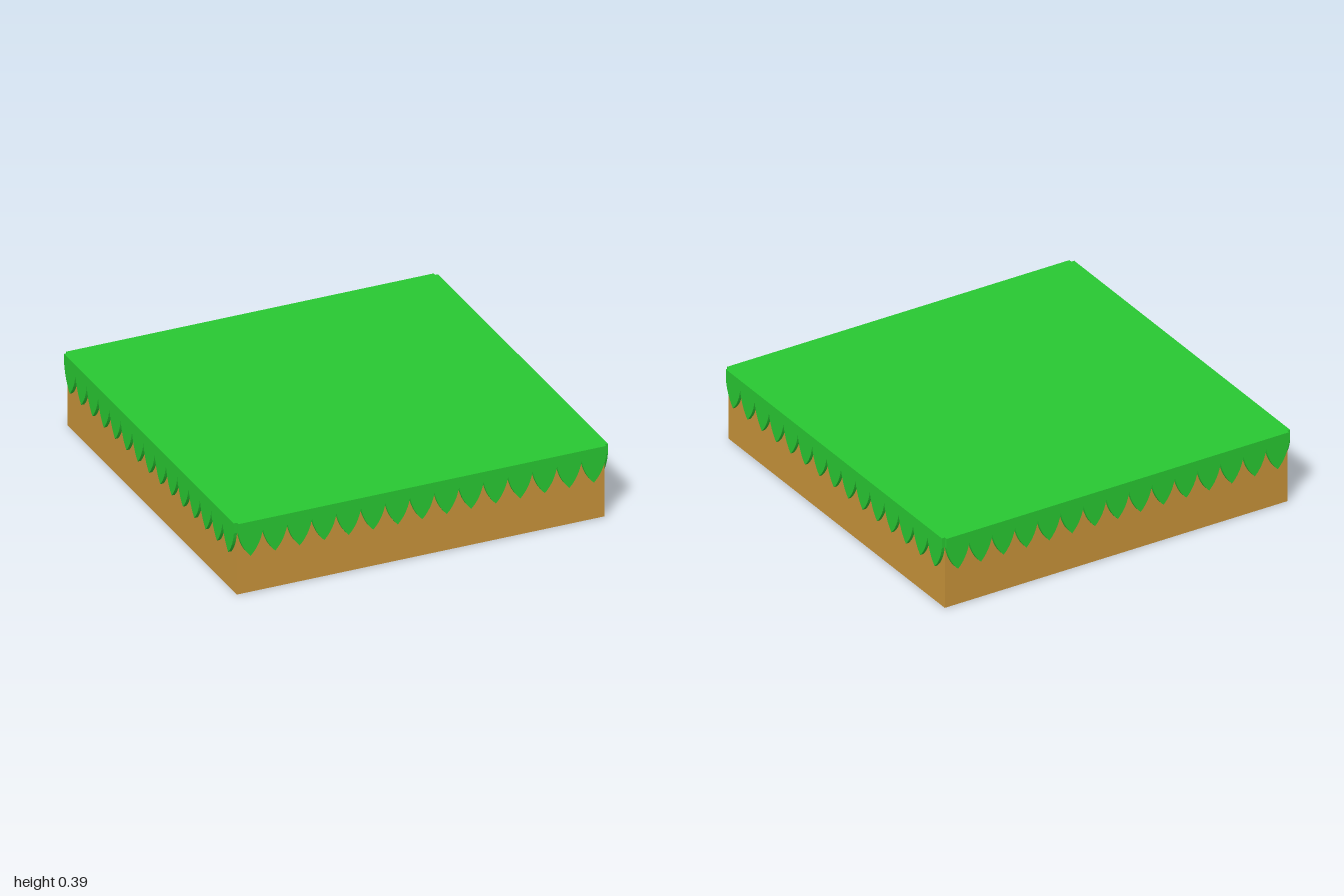
import * as THREE from 'three';

const HALF = 0.983;    // half width of the soil block
const LIP = 0.017;     // thickness of the hanging grass
const TOP = 0.393, NOTCH = 0.338, TIP = 0.206;
const TEETH = 15;

// Outline of one side's grass: straight top, row of pointed ogive blades below
function fringeShape() {
  const pitch = (2 * HALF) / TEETH;
  const shape = new THREE.Shape();
  shape.moveTo(HALF, TOP);
  shape.lineTo(-HALF, TOP);
  shape.lineTo(-HALF, NOTCH);
  for (let i = 0; i < TEETH; i++) {
    const x = -HALF + i * pitch, mid = x + pitch / 2;
    shape.quadraticCurveTo(x + 0.015, 0.255, mid, TIP);
    shape.quadraticCurveTo(x + pitch - 0.015, 0.255, x + pitch, NOTCH);
  }
  shape.closePath();
  return shape;
}

export function createModel() {
  const model = new THREE.Group();
  model.name = 'grassBlock';
  const soilMat = new THREE.MeshStandardMaterial({ color: 0xc8933a });
  const grassMat = new THREE.MeshStandardMaterial({ color: 0x28c832 });

  // Soil block
  const soil = new THREE.Mesh(new THREE.BoxGeometry(2 * HALF, NOTCH, 2 * HALF), soilMat);
  soil.name = 'soil';
  soil.position.y = NOTCH / 2;
  model.add(soil);

  // Grass layer on top
  const turf = new THREE.Mesh(new THREE.BoxGeometry(2 * HALF, TOP - NOTCH, 2 * HALF), grassMat);
  turf.name = 'turf';
  turf.position.y = (TOP + NOTCH) / 2;
  model.add(turf);

  // Hanging blades on the four sides, leaving the corners open
  const geometry = new THREE.ExtrudeGeometry(fringeShape(), {
    depth: LIP, bevelEnabled: false, curveSegments: 6,
  });
  geometry.translate(0, 0, HALF);
  ['front', 'left', 'back', 'right'].forEach((side, i) => {
    const fringe = new THREE.Mesh(geometry, grassMat);
    fringe.name = side + 'GrassFringe';
    fringe.rotation.y = (i * Math.PI) / 2;
    model.add(fringe);
  });
  return model;
}
